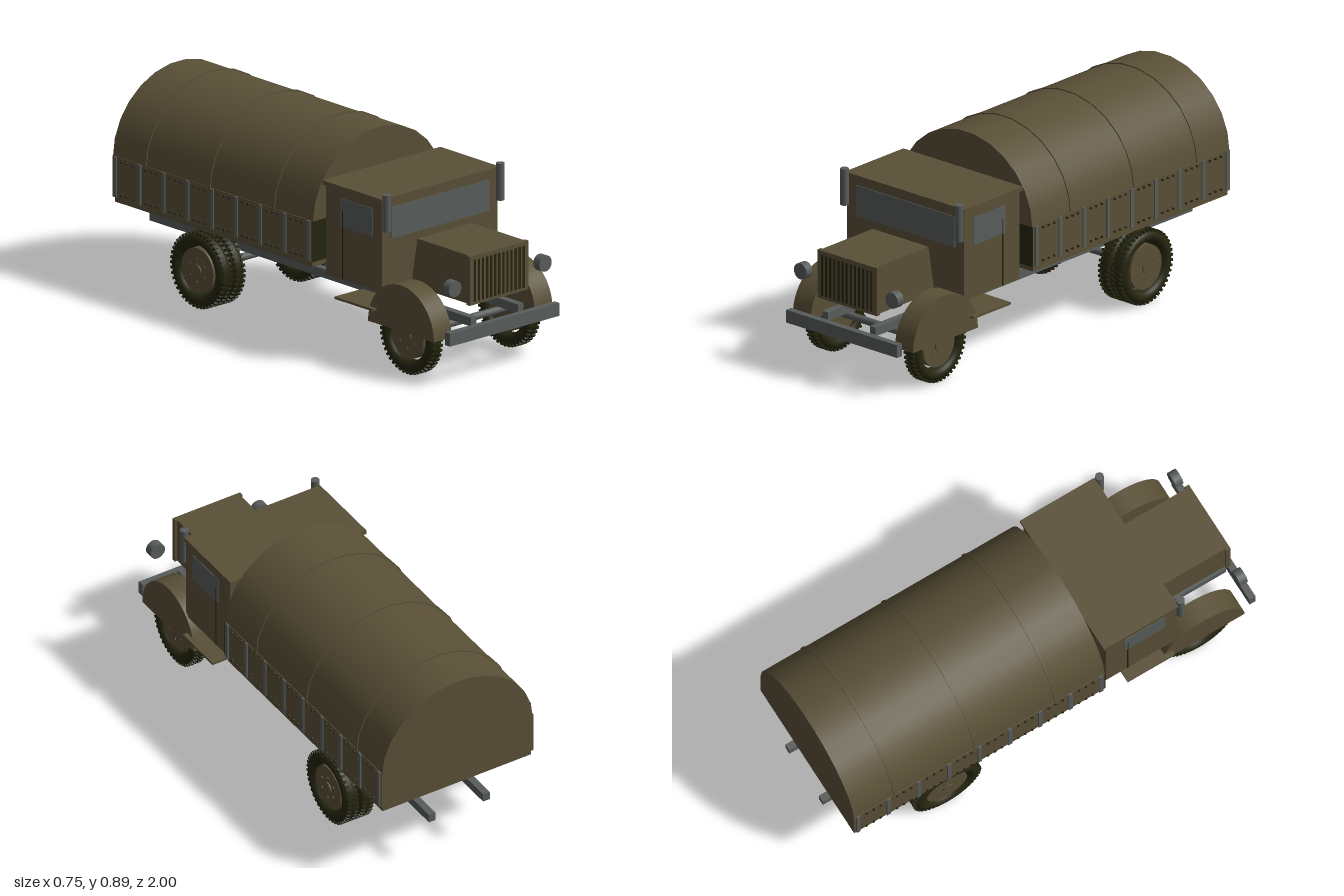
import * as THREE from 'three';
import { mergeGeometries, toCreasedNormals } from 'three/addons/utils/BufferGeometryUtils.js';

const mat = (name, color) => {
  const m = new THREE.MeshStandardMaterial({ color });
  m.name = name;
  return m;
};

export function createModel() {
  const olive = mat('olive drab', 0x5a5037);
  const steel = mat('steel grey', 0x585d5b);
  const rubber = mat('black rubber', 0x25250f);
  const truck = new THREE.Group();
  truck.name = 'truck';

  const add = (name, geo, material, parent = truck) => {
    const mesh = new THREE.Mesh(geo, material);
    mesh.name = name;
    parent.add(mesh);
    return mesh;
  };
  // Box given by its limits on each axis
  const boxGeo = (x0, x1, y0, y1, z0, z1) =>
    new THREE.BoxGeometry(x1 - x0, y1 - y0, z1 - z0)
      .translate((x0 + x1) / 2, (y0 + y1) / 2, (z0 + z1) / 2);
  const box = (name, material, ...limits) => add(name, boxGeo(...limits), material);
  // Cylinder lying along x
  const rodX = (r, length, x, y, z, sides = 24) =>
    new THREE.CylinderGeometry(r, r, length, sides).rotateZ(Math.PI / 2).translate(x, y, z);

  // Chassis
  for (const s of [-1, 1]) {
    box('chassisRail', steel, s * 0.132 - 0.016, s * 0.132 + 0.016, 0.227, 0.265, -1, 0.955);
  }
  box('bumper', steel, -0.308, 0.308, 0.185, 0.241, 0.97, 1);
  add('frontAxle', rodX(0.016, 0.5, 0, 0.168, 0.73), steel);
  add('rearAxle', rodX(0.016, 0.5, 0, 0.168, -0.51), steel);

  // Hood with a sloping rear edge
  const hood = new THREE.Shape([[0.955, 0.325], [0.955, 0.535], [0.636, 0.535], [0.6, 0.325]]
    .map(([z, y]) => new THREE.Vector2(-z, y)));
  add('hood', new THREE.ExtrudeGeometry(hood, { depth: 0.31, bevelEnabled: false })
    .translate(0, 0, -0.155).rotateY(Math.PI / 2), olive);

  // Radiator grille with dark slots
  box('grilleFrame', olive, -0.165, 0.165, 0.323, 0.535, 0.945, 0.966);
  for (let i = -6; i <= 6; i++) {
    box('grilleSlot', rubber, i * 0.0229 - 0.005, i * 0.0229 + 0.005, 0.337, 0.517, 0.965, 0.969);
  }

  // Cab
  box('cab', olive, -0.325, 0.325, 0.33, 0.72, 0.263, 0.605);
  box('roof', olive, -0.332, 0.332, 0.718, 0.736, 0.25, 0.611);
  box('windscreen', steel, -0.276, 0.276, 0.555, 0.69, 0.603, 0.609);

  for (const s of [-1, 1]) {
    const x = s * 0.325;
    box('sideWindow', steel, x - 0.003, x + 0.003, 0.56, 0.682, 0.352, 0.55);
    box('doorSeam', rubber, x - 0.003, x + 0.003, 0.332, 0.63, 0.366, 0.371);
    add('exhaustStack', new THREE.CylinderGeometry(0.018, 0.018, 0.16, 20)
      .translate(s * 0.319, 0.679, 0.628), steel);
    add('headlight', new THREE.CylinderGeometry(0.035, 0.035, 0.037, 24)
      .rotateX(Math.PI / 2).translate(s * 0.254, 0.417, 0.955), steel);
    box('runningBoard', olive, s * 0.278 - 0.078, s * 0.278 + 0.078, 0.25, 0.26, 0.35, 0.58);

    // Half-round fender
    const arch = new THREE.Shape().absarc(0, 0, 0.2, 0, Math.PI, false);
    const fender = new THREE.ExtrudeGeometry(arch, { depth: 0.1, bevelEnabled: false, curveSegments: 24 })
      .translate(0, 0, -0.05).rotateY(Math.PI / 2).translate(s * 0.284, 0.193, 0.73);
    add('fender', toCreasedNormals(fender, 0.5), olive);
  }

  // Tyre with two rows of tread blocks, axis along x
  const tyreParts = [new THREE.TorusGeometry(0.132, 0.028, 14, 48).scale(1, 1, 1.25).rotateY(Math.PI / 2)];
  const teeth = 44;
  for (let i = 0; i < teeth; i++) {
    for (const s of [-1, 1]) {
      tyreParts.push(new THREE.BoxGeometry(0.018, 0.013, 0.011)
        .translate(s * 0.017, 0.157, 0)
        .rotateX((i + (s > 0 ? 0.5 : 0)) * 2 * Math.PI / teeth));
    }
  }
  const tyreGeo = mergeGeometries(tyreParts);
  const wheel = (name, s, z, tyreXs, hubX, hubWidth) => {
    const group = new THREE.Group();
    group.name = name;
    group.position.set(0, 0.165, z);
    truck.add(group);
    for (const x of tyreXs) add('tyre', tyreGeo, rubber, group).position.x = s * x;
    add('hub', rodX(0.097, hubWidth, s * hubX, 0, 0, 36), olive, group);
    const face = hubX + hubWidth / 2;
    add('hubCap', rodX(0.025, 0.012, s * face, 0, 0, 16), olive, group);
    for (let i = 0; i < 6; i++) {
      const a = i * Math.PI / 3;
      add('wheelNut', rodX(0.005, 0.01, s * face, 0.05 * Math.cos(a), 0.05 * Math.sin(a), 6), olive, group);
    }
  };
  for (const s of [-1, 1]) {
    wheel('frontWheel', s, 0.73, [0.275], 0.275, 0.045);
    wheel('rearWheel', s, -0.51, [0.309, 0.237], 0.273, 0.118);
  }

  // Cargo bed
  box('bedFloor', olive, -0.362, 0.362, 0.36, 0.384, -0.98, 0.222);
  box('bed', olive, -0.37, 0.37, 0.383, 0.56, -0.985, 0.23);
  box('bedFrontPanel', rubber, -0.37, 0.37, 0.385, 0.56, 0.229, 0.234);
  const bolts = [];
  for (const s of [-1, 1]) {
    for (let i = 0; i < 9; i++) {
      const z = 0.21 - i * 0.147;
      box('bedStake', steel, s * 0.37 - 0.006, s * 0.37 + 0.006, 0.385, 0.56, z - 0.009, z + 0.009);
      if (i === 8) continue;
      for (const f of [0.27, 0.5, 0.73]) {
        for (const y of [0.4, 0.545]) bolts.push(rodX(0.005, 0.014, s * 0.37, y, z - f * 0.147, 8));
      }
    }
  }
  add('bedBolts', mergeGeometries(bolts), rubber);

  // Canvas cover: half ellipse in 13 facets, with three hoops
  const archShape = (grow) => {
    const pts = [];
    for (let i = 0; i <= 13; i++) {
      const a = i * Math.PI / 13;
      pts.push(new THREE.Vector2((0.368 + grow) * Math.cos(a), 0.55 + (0.341 + grow) * Math.sin(a)));
    }
    return new THREE.Shape(pts);
  };
  const cover = (name, grow, z0, z1) => add(name, toCreasedNormals(
    new THREE.ExtrudeGeometry(archShape(grow), { depth: z1 - z0, bevelEnabled: false })
      .translate(0, 0, z0), 0.5), olive);
  cover('canvasCover', 0, -0.985, 0.231);
  for (const z of [-0.007, -0.397, -0.787]) cover('canvasHoop', 0.005, z - 0.006, z + 0.006);

  return truck;
}
